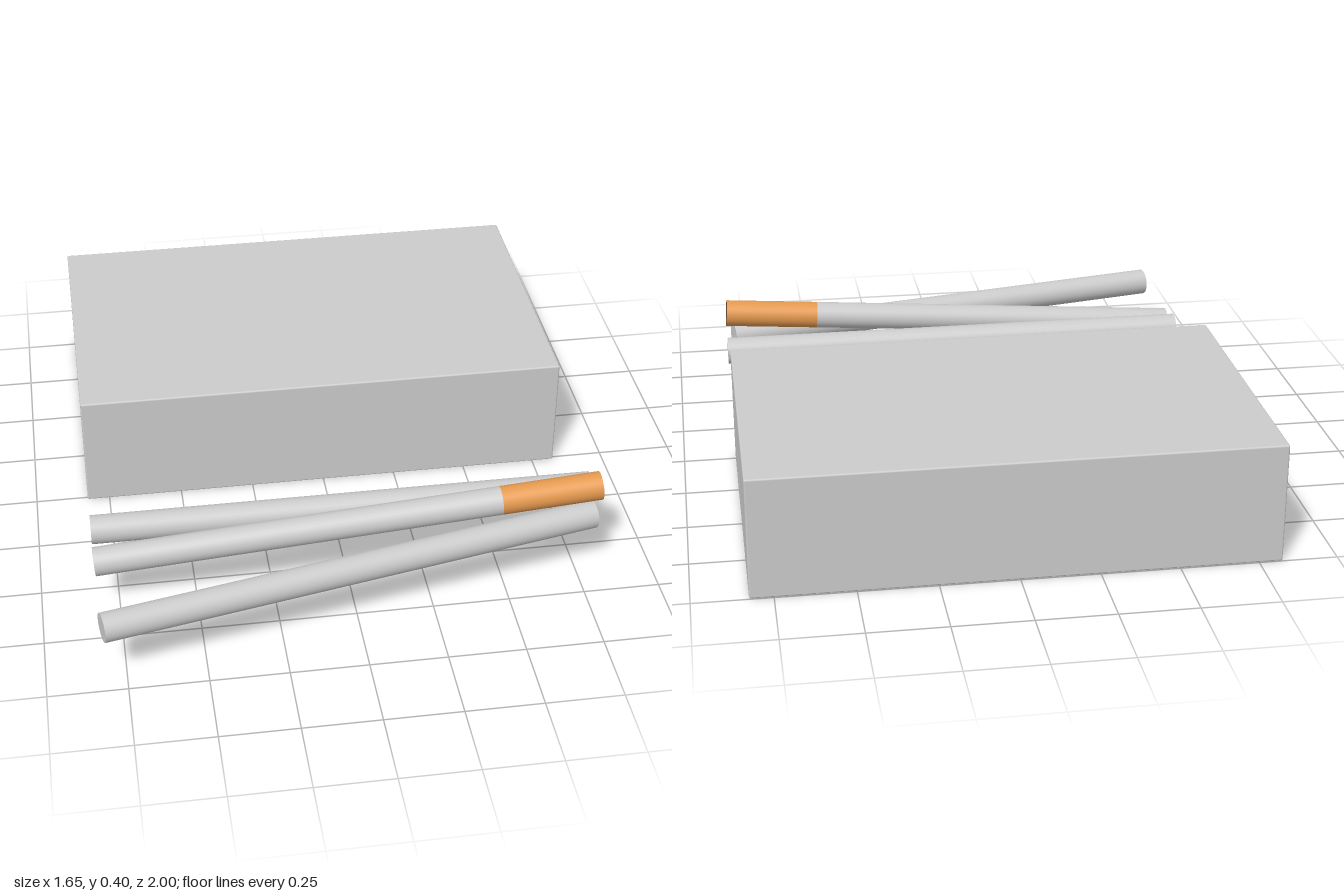
import * as THREE from 'three';
import { RoundedBoxGeometry } from 'three/addons/geometries/RoundedBoxGeometry.js';

const RADIUS = 0.047;
const SIDES = 32;

const grey = new THREE.MeshStandardMaterial({ color: 0xcccccc });
const orange = new THREE.MeshStandardMaterial({ color: 0xe59a50 });
const brown = new THREE.MeshStandardMaterial({ color: 0x6b5238 });

// Cylinder running from point a to point b; materials are [side, end, start].
function rod(name, a, b, materials) {
  const axis = b.clone().sub(a);
  const geometry = new THREE.CylinderGeometry(RADIUS, RADIUS, axis.length(), SIDES);
  const mesh = new THREE.Mesh(geometry, materials);
  mesh.position.copy(a).lerp(b, 0.5);
  mesh.quaternion.setFromUnitVectors(new THREE.Vector3(0, 1, 0), axis.normalize());
  mesh.name = name;
  return mesh;
}

export function createModel() {
  const model = new THREE.Group();
  model.name = 'boxWithSticks';
  const v = (x, y, z) => new THREE.Vector3(x, y, z);

  // Box with finely softened edges
  const box = new THREE.Mesh(new RoundedBoxGeometry(1.65, 0.395, 1.014, 2, 0.006), grey);
  box.name = 'box';
  box.position.set(0, 0.1975, -0.493);
  model.add(box);

  // Plain sticks: one parallel to the box, one swung outwards
  model.add(rod('straightStick', v(-0.825, 0.213, 0.463), v(0.825, 0.213, 0.463), grey));
  model.add(rod('angledStick', v(-0.817, 0.213, 0.953), v(0.798, 0.213, 0.615), grey));

  // Raised stick with a coloured filter and dark ends
  const start = v(-0.823, 0.185, 0.594);
  const end = v(0.822, 0.309, 0.594);
  const joint = start.clone().lerp(end, 0.8);
  const raised = new THREE.Group();
  raised.name = 'raisedStick';
  raised.add(rod('paper', start, joint, [grey, grey, brown]));
  raised.add(rod('filter', joint, end, [orange, brown, orange]));
  model.add(raised);

  return model;
}
